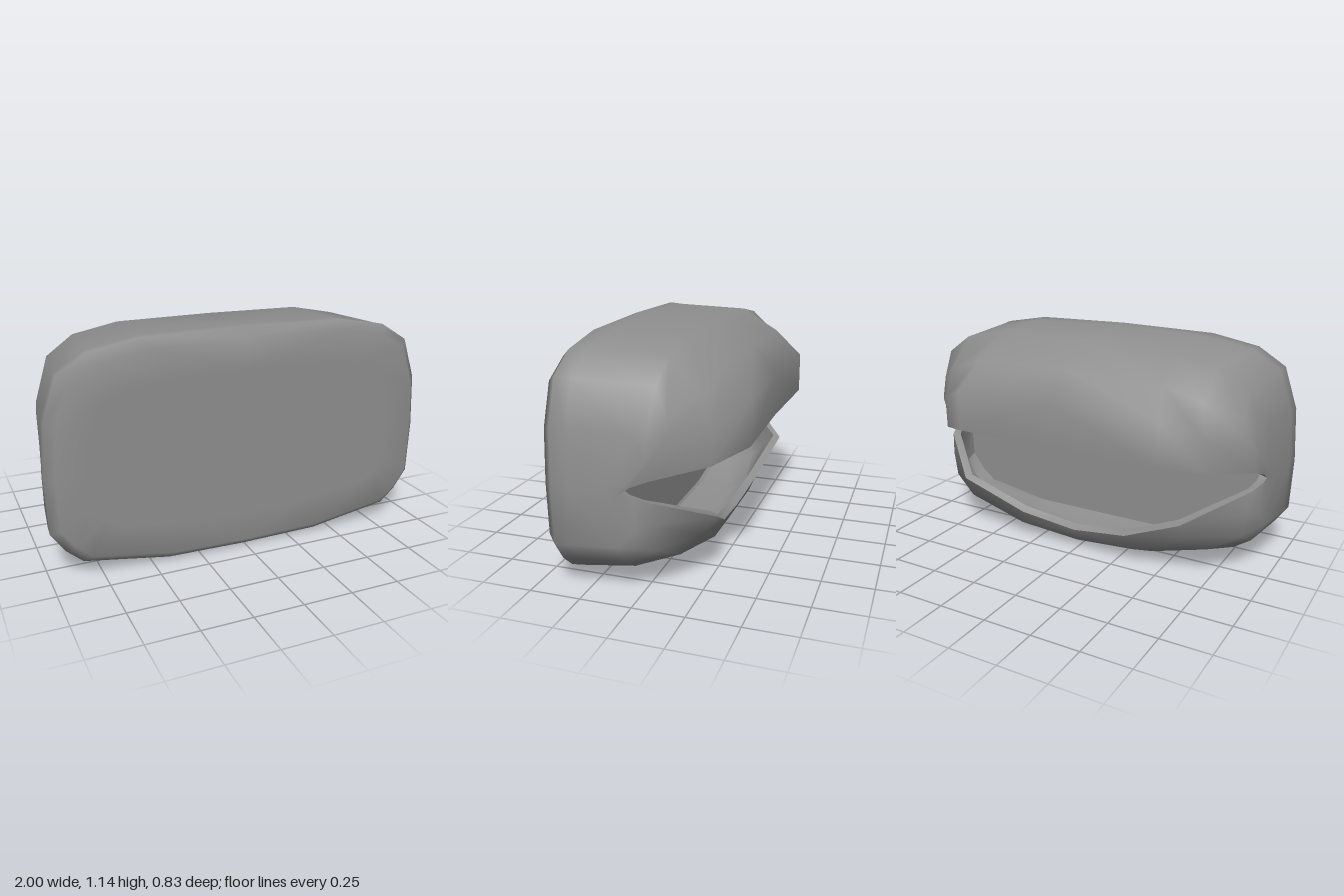
import * as THREE from 'three';
import { toCreasedNormals } from 'three/addons/utils/BufferGeometryUtils.js';

// Half outline of the front, top centre -> left side -> bottom centre
const OUTLINE = [[0, 1.145], [0.52, 1.135], [0.77, 1.09], [0.915, 1.0], [0.985, 0.79], [1, 0.52],
  [0.99, 0.25], [0.92, 0.15], [0.84, 0.08], [0.41, 0.01], [0, 0.003]];

// Half loops of the wrap-around body, from the shoulder to the lip of the mouth
const SHOULDER = [[0, 1.125, -0.09], [0.5, 1.12, -0.09], [0.73, 1.075, -0.09], [0.865, 0.98, -0.08],
  [0.945, 0.78, 0], [0.968, 0.517, 0.14], [0.958, 0.26, 0.08], [0.89, 0.16, 0.06], [0.8, 0.1, 0.06],
  [0.41, 0.06, 0.105], [0, 0.057, 0.105]];
const BACK = [[0, 1.01, -0.275], [0.52, 1.0, -0.28], [0.72, 0.93, -0.25], [0.875, 0.84, -0.13],
  [0.94, 0.7, -0.05], [0.96, 0.516, 0.1], [0.94, 0.34, 0], [0.875, 0.23, -0.07], [0.72, 0.15, -0.13],
  [0.4, 0.03, -0.06], [0, 0.025, -0.05]];
const ABOVE_LIP = [[0, 0.87, -0.4], [0.56, 0.86, -0.413], [0.75, 0.77, -0.29], [0.925, 0.7, -0.1],
  [0.943, 0.62, -0.02], [0.955, 0.516, 0.07], [0.938, 0.44, 0], [0.895, 0.36, -0.07], [0.67, 0.24, -0.22],
  [0.34, 0.08, -0.18], [0, 0.045, -0.16]];
const LIP = [[0, 0.65, -0.4], [0.56, 0.65, -0.413], [0.75, 0.605, -0.285], [0.92, 0.57, -0.06],
  [0.942, 0.54, 0.02], [0.95, 0.515, 0.05], [0.942, 0.497, 0.02], [0.91, 0.47, -0.05], [0.64, 0.325, -0.29],
  [0.31, 0.165, -0.22], [0, 0.12, -0.2]];

const CY = 0.57;
const HALF = OUTLINE.length - 1;
const COLS = HALF * 2;
const WALL = 0.042;
const POCKET_Z = 0.15;

// Completes a half loop by mirroring it in x
const mirrorLoop = (half) => [...half, ...half.slice(1, HALF).reverse().map(([x, y, z]) => [-x, y, z])];

// Front outline pulled in by a fixed distance, at depth z
const outlineRing = (inset, z) => mirrorLoop(OUTLINE.map(([x, y]) =>
  [x * (1 - inset), CY + (y - CY) * (1 - inset / 0.57), z]));

const BODY = [SHOULDER, BACK, ABOVE_LIP, LIP].map(mirrorLoop);

// Quads between two loops; the diagonal flips on the mirrored half
function stitch(index, r0, r1) {
  for (let j = 0; j < COLS; j++) {
    const k = (j + 1) % COLS;
    const [a, b, c, d] = [r0 + j, r0 + k, r1 + k, r1 + j];
    if (j < HALF) index.push(a, b, c, a, c, d);
    else index.push(a, b, d, b, c, d);
  }
}

function indexed(points, index) {
  const g = new THREE.BufferGeometry();
  g.setAttribute('position', new THREE.Float32BufferAttribute(points, 3));
  g.setIndex(index);
  g.computeVertexNormals();
  return g;
}

// Skin through a list of loops, closed at the first one by a fan
function cappedSkin(rings, inwards) {
  const centre = rings.length * COLS;
  const index = [];
  for (let j = 0; j < COLS; j++) index.push(centre, (j + 1) % COLS, j);
  for (let r = 0; r < rings.length - 1; r++) stitch(index, r * COLS, (r + 1) * COLS);
  if (inwards) index.reverse();
  return indexed([...rings.flat(2), 0, CY, rings[0][0][2]], index);
}

// Body loops pushed inwards from the outer skin by the wall thickness
function insetBody(outer, firstRing) {
  const p = outer.attributes.position, n = outer.attributes.normal;
  return BODY.map((loop, r) => loop.map((_, j) => {
    const i = (firstRing + r) * COLS + j;
    return [p.getX(i) - n.getX(i) * WALL, p.getY(i) - n.getY(i) * WALL, p.getZ(i) - n.getZ(i) * WALL];
  }));
}

// Rim joining the lips of the two skins
function rimStrip(outerLip, innerLip) {
  const index = [];
  stitch(index, 0, COLS);
  return indexed([outerLip, innerLip].flat(2), index);
}

export function createModel() {
  const group = new THREE.Group();
  group.name = 'hollowShell';
  const material = new THREE.MeshStandardMaterial({ color: 0x8f8f8f });
  const add = (name, geometry) => {
    const mesh = new THREE.Mesh(geometry, material);
    mesh.name = name;
    group.add(mesh);
  };

  // Outer skin: flat front, bevel, sides and back
  const front = [outlineRing(0.2, 0.413), outlineRing(0.045, 0.413), outlineRing(0, 0.365),
    outlineRing(0.006, 0.29)];
  const outer = cappedSkin([...front, ...BODY], false);
  add('outerShell', outer);

  // Pocket: flat wall inside the mouth, with the lining running back to the lip
  const lining = insetBody(outer, front.length);
  const pocket = cappedSkin([outlineRing(0.07, POCKET_Z), ...lining], true);
  add('pocketLining', toCreasedNormals(pocket, 0.6));

  add('mouthRim', toCreasedNormals(rimStrip(BODY.at(-1), lining.at(-1)), 0.6));
  return group;
}
